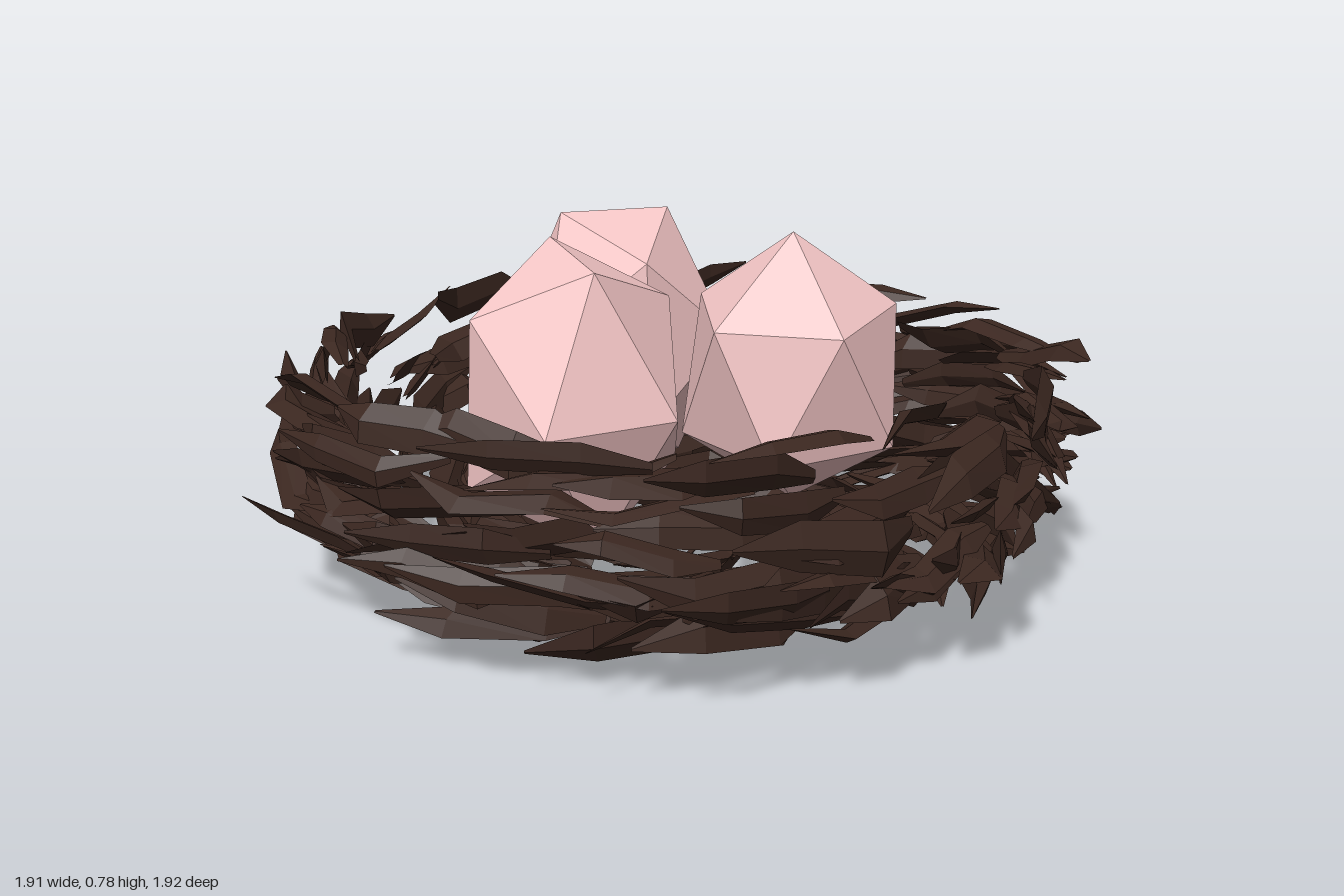
import * as THREE from 'three';
import { mergeGeometries } from 'three/addons/utils/BufferGeometryUtils.js';

// small seeded generator
function makeRandom(seed) {
  return () => {
    seed = (seed * 16807) % 2147483647;
    return seed / 2147483647;
  };
}

// One kinked, four-sided twig that follows the ring and drifts outward to its tip
function twigGeometry({ angle, radius, y, length, drift, rise, width, roll, jitter }) {
  const stations = [0, 0.3, 0.7, 1];
  const widths = [0.35, 1, 0.9, 0.08];
  const sides = 4;
  const pos = [];
  const index = [];
  stations.forEach((s, i) => {
    const a = angle + (s - 0.5) * length / radius;
    const r = radius + (s - 0.5) * drift + jitter();
    const cy = y + (s - 0.5) * rise + jitter();
    for (let j = 0; j < sides; j++) {
      const phi = j / sides * Math.PI * 2;
      const u = Math.cos(phi) * width * widths[i];
      const v = Math.sin(phi) * width * 0.35 * widths[i];
      const pr = Math.min(0.99, r + u * Math.cos(roll) - v * Math.sin(roll));
      const py = Math.max(0, cy + u * Math.sin(roll) + v * Math.cos(roll));
      pos.push(Math.cos(a) * pr, py, Math.sin(a) * pr);
    }
  });
  for (let i = 0; i < stations.length - 1; i++) {
    for (let j = 0; j < sides; j++) {
      const k = (j + 1) % sides;
      const p = i * sides, q = p + sides;
      index.push(p + j, p + k, q + k, p + j, q + k, q + j);
    }
  }
  const g = new THREE.BufferGeometry();
  g.setAttribute('position', new THREE.Float32BufferAttribute(pos, 3));
  g.setIndex(index);
  return g.toNonIndexed();
}

// Bowl of woven twigs, laid in rings from the sparse floor up to the flared rim
function createNest() {
  const rnd = makeRandom(4711);
  const spread = (d) => (rnd() * 2 - 1) * d;
  const rings = [ // radius, height, count, outward drift, rise
    [0.28, 0.09, 10, 0.20, 0.00],
    [0.43, 0.07, 22, 0.20, 0.02],
    [0.56, 0.08, 36, 0.22, 0.04],
    [0.68, 0.12, 44, 0.22, 0.06],
    [0.78, 0.18, 46, 0.19, 0.06],
    [0.84, 0.25, 42, 0.15, 0.04],
    [0.85, 0.33, 34, 0.14, 0.03],
    [0.84, 0.41, 32, 0.13, 0.03],
    [0.81, 0.475, 28, 0.14, 0.03],
  ];
  const twigs = [];
  for (const [radius, y, count, drift, rise] of rings) {
    for (let i = 0; i < count; i++) {
      twigs.push(twigGeometry({
        angle: (i + spread(0.5)) / count * Math.PI * 2,
        radius: radius + spread(0.05),
        y: y + spread(0.03),
        length: 0.36 + spread(0.08),
        drift: drift + spread(0.06),
        rise: rise + spread(0.06),
        width: 0.043 + spread(0.012),
        roll: rnd() * Math.PI,
        jitter: () => spread(0.025),
      }));
    }
  }
  const g = mergeGeometries(twigs);
  g.computeVertexNormals();
  const mesh = new THREE.Mesh(g, new THREE.MeshStandardMaterial({ color: 0x3b2720, flatShading: true }));
  mesh.name = 'nestTwigs';
  return mesh;
}

// Faceted egg, a little narrower towards the top; lean 0 puts an edge on top, CORNER_UP a corner
const CORNER_UP = -Math.atan(2 / (1 + Math.sqrt(5)));
function createEgg(name, x, z, halfHeight, lean, turn, tiltX) {
  const g = new THREE.IcosahedronGeometry(1, 0);
  g.rotateZ(lean);
  g.rotateY(turn);
  g.rotateX(tiltX);
  const p = g.attributes.position;
  for (let i = 0; i < p.count; i++) {
    const k = 0.275 * (1 - 0.07 * p.getY(i));
    p.setXYZ(i, p.getX(i) * k, p.getY(i) * halfHeight, p.getZ(i) * k);
  }
  g.computeVertexNormals();
  g.computeBoundingBox();
  g.translate(0, 0.78 - g.boundingBox.max.y, 0);
  const egg = new THREE.Mesh(g, new THREE.MeshStandardMaterial({ color: 0xf4c6c6, flatShading: true }));
  egg.name = name;
  egg.position.set(x, 0, z);
  return egg;
}

export function createModel() {
  const model = new THREE.Group();
  model.name = 'nestWithEggs';
  model.add(createNest());
  model.add(createEgg('eggLeft', 0.26, -0.02, 0.32, CORNER_UP, 0.25, 0.1));
  model.add(createEgg('eggRightBack', -0.19, -0.25, 0.36, 0.04, 0.52, -0.08));
  model.add(createEgg('eggRightFront', -0.19, 0.25, 0.36, -0.05, -1.0, 0.05));
  return model;
}
